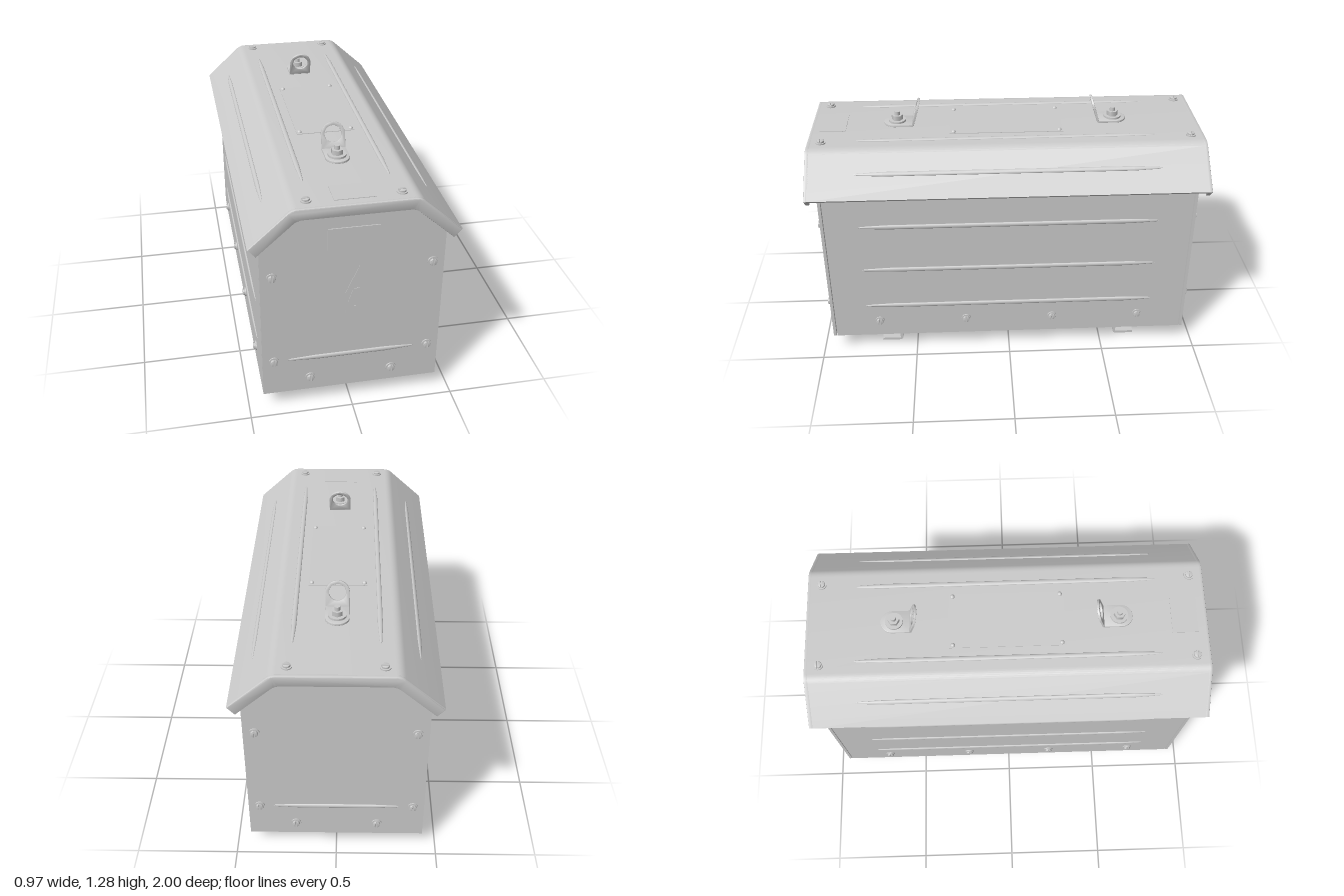
import * as THREE from 'three';
import { toCreasedNormals } from 'three/addons/utils/BufferGeometryUtils.js';

const mat = new THREE.MeshStandardMaterial({ color: 0xcccccc });
const UP = Math.PI / 2;
const SLOPE = Math.atan2(0.742, 0.671); // direction the roof slope faces

function part(name, geometry, x = 0, y = 0, z = 0) {
  const m = new THREE.Mesh(geometry, mat);
  m.name = name;
  m.position.set(x, y, z);
  return m;
}
const box = (name, w, h, d, x, y, z) => part(name, new THREE.BoxGeometry(w, h, d), x, y, z);
const disc = (name, r, h, sides, x, y, z) => part(name, new THREE.CylinderGeometry(r, r, h, sides), x, y, z);

function extrude(shape, depth, bevel = 0) {
  const g = new THREE.ExtrudeGeometry(shape, {
    depth: depth - 2 * bevel, bevelEnabled: bevel > 0, bevelThickness: bevel,
    bevelSize: bevel, bevelOffset: -bevel, bevelSegments: 2, curveSegments: 16,
  });
  g.translate(0, 0, bevel);
  return toCreasedNormals(g, 0.6);
}

// Points across the roof from right eave to left eave, d below its outer skin
function roofLine(d) {
  const e = new THREE.Vector2(0.484 - 0.671 * d, 0.965 - 0.742 * d);
  const k = new THREE.Vector2(0.285 - 0.385 * d, 1.145 - d);
  const r = 0.025;
  const bend = new THREE.QuadraticBezierCurve(
    new THREE.Vector2(k.x + 0.742 * r, k.y - 0.671 * r), k, new THREE.Vector2(k.x - r, k.y));
  const half = [e, ...bend.getPoints(5)];
  return [...half, ...half.map(p => new THREE.Vector2(-p.x, p.y)).reverse()];
}
const roofBand = d => new THREE.Shape([...roofLine(0), ...roofLine(d).reverse()]);

// Gabled wall outline that fits under the roof
const gable = (w, bottom, d) => {
  const top = 1.145 - d, k = 0.285 - 0.385 * d, eave = top - (w - k) * 0.905;
  return new THREE.Shape([[-w, bottom], [w, bottom], [w, eave], [k, top], [-k, top], [-w, eave]]
    .map(p => new THREE.Vector2(...p)));
};

// Slotted screw on a washer, facing +z
function screw() {
  const g = new THREE.Group();
  g.name = 'screw';
  const washer = disc('washer', 0.025, 0.006, 24, 0, 0, 0.003);
  washer.rotation.x = UP;
  const core = disc('screwCore', 0.015, 0.008, 20, 0, 0, 0.005);
  core.rotation.x = UP;
  g.add(washer, core);
  const a = 0.2;
  const halfDisc = new THREE.Shape();
  halfDisc.absarc(0, 0, 0.018, -UP + a, UP - a, false);
  halfDisc.closePath();
  for (const turn of [0, Math.PI]) {
    const half = part('screwHead', extrude(halfDisc, 0.012, 0.003), 0, 0, 0.004);
    half.rotation.z = turn;
    g.add(half);
  }
  return g;
}

// Pressed rib with tapered ends, running along x and raised towards +z
function rib(half) {
  const r = 0.012;
  const ends = [[0, half], [r * 0.45, half - 0.015], [r * 0.7, half - 0.07], [r, half - 0.14]];
  const pts = [...ends.map(([x, y]) => new THREE.Vector2(x, -y)),
    ...ends.reverse().map(([x, y]) => new THREE.Vector2(x, y))];
  const g = new THREE.LatheGeometry(pts, 16);
  g.rotateZ(UP);
  g.scale(1, 1, 0.6);
  return part('rib', g);
}

// L-shaped foot rail running across x; flange points to +z
function foot() {
  const s = new THREE.Shape();
  s.moveTo(0.69, 0);
  s.lineTo(0.69, 0.014);
  s.lineTo(0.594, 0.014);
  s.lineTo(0.594, 0.13);
  s.lineTo(0.58, 0.13);
  s.lineTo(0.58, 0.02);
  s.quadraticCurveTo(0.58, 0, 0.6, 0);
  const g = extrude(s, 0.74);
  g.rotateY(-UP); // profile x becomes z
  g.translate(0.37, 0, 0);
  return part('footRail', g);
}

// Bent lifting bracket with ring, nut and stud; bolted end towards +z
function liftingEye() {
  const g = new THREE.Group();
  g.name = 'liftingEye';
  const base = new THREE.Shape();
  base.moveTo(0.058, 0.478);
  base.lineTo(0.058, 0.57);
  base.absarc(0, 0.57, 0.058, 0, Math.PI, false);
  base.lineTo(-0.058, 0.478);
  const plate = part('bracketBase', extrude(base, 0.011, 0.002), 0, 1.156, 0);
  plate.rotation.x = UP;
  const tab = new THREE.Shape();
  tab.moveTo(-0.058, 0);
  tab.lineTo(0.058, 0);
  tab.lineTo(0.058, 0.073);
  tab.absarc(0, 0.073, 0.058, 0, Math.PI, false);
  const hole = new THREE.Path();
  hole.absarc(0, 0.073, 0.041, 0, Math.PI * 2, true);
  tab.holes.push(hole);
  const ring = part('bracketRing', extrude(tab, 0.011, 0.002), 0, 1.149, 0.475);
  ring.rotation.x = -0.29;
  g.add(plate, ring,
    disc('nutWasher', 0.044, 0.01, 24, 0, 1.161, 0.56),
    disc('nut', 0.029, 0.024, 6, 0, 1.178, 0.56),
    disc('stud', 0.014, 0.05, 16, 0, 1.185, 0.56));
  return g;
}

export function createModel() {
  const model = new THREE.Group();
  model.name = 'transformerHousing';
  // Places a +z facing part so that it faces an end (ry) or sideways/up (phi)
  const onEnd = (o, s, x, y) => {
    o.position.set(x * s, y, 0.945 * s);
    o.rotation.y = s > 0 ? 0 : Math.PI;
    model.add(o);
  };
  const onSide = (o, phi, x, y, z) => {
    o.position.set(x, y, z);
    o.rotation.set(0, UP, phi, 'ZYX');
    model.add(o);
  };

  // Body: core with recessed floor, side walls and gabled end panels
  model.add(part('core', extrude(gable(0.415, 0.115, 0.02), 1.85), 0, 0, -0.925));
  for (const s of [1, -1]) {
    model.add(box('sideWall', 0.015, 0.905, 1.852, 0.4225 * s, 0.5425, 0));
    model.add(part('endPanel', extrude(gable(0.43, 0.09, 0.017), 0.015), 0, 0, s > 0 ? 0.93 : -0.945));
  }

  // Roof sheet with deep lips at both ends
  model.add(part('roofSheet', extrude(roofBand(0.016), 1.97), 0, 0, -0.985));
  for (const z of [-1, 0.976]) model.add(part('roofLip', extrude(roofBand(0.055), 0.024, 0.005), 0, 0, z));

  // Screws and ribs on the ends and sides
  for (const s of [1, -1]) {
    for (const m of [1, -1]) {
      for (const [x, y] of [[0.375, 0.77], [0.375, 0.285], [0.2, 0.165]]) onEnd(screw(), s, x * m, y);
      onSide(screw(), UP, 0.215 * m, 1.145, 0.93 * s);
    }
    onEnd(rib(0.31), s, 0, 0.285);
    const out = s > 0 ? 0 : Math.PI;
    for (const y of [0.775, 0.515, 0.285]) onSide(rib(0.76), out, 0.43 * s, y, 0);
    for (const z of [-0.69, -0.23, 0.23, 0.69]) onSide(screw(), out, 0.43 * s, 0.185, z);
    onSide(rib(0.76), UP, 0.2 * s, 1.145, 0);
    onSide(rib(0.76), s > 0 ? SLOPE : Math.PI - SLOPE, 0.385 * s, 1.0545, 0);
  }

  // Riveted plate and small label on the roof
  model.add(box('roofPlate', 0.29, 0.006, 0.58, 0, 1.145, 0));
  model.add(box('roofLabel', 0.19, 0.006, 0.13, 0, 1.145, 0.885));
  for (const x of [-0.13, 0.13]) for (const z of [-0.27, 0.27]) {
    const g = new THREE.SphereGeometry(0.012, 16, 6, 0, Math.PI * 2, 0, UP);
    model.add(part('rivet', g, x, 1.147, z));
  }

  // Front label and warning flash
  model.add(box('frontLabel', 0.24, 0.11, 0.008, 0, 0.945, 0.946));
  const flash = new THREE.Shape([[0.03, 0.79], [-0.034, 0.645], [0, 0.655], [-0.024, 0.583], [-0.034, 0.59],
    [-0.03, 0.51], [0.017, 0.566], [-0.003, 0.566], [0.034, 0.668], [0, 0.66]].map(p => new THREE.Vector2(...p)));
  model.add(part('warningFlash', extrude(flash, 0.003), 0, 0, 0.944));

  // Lifting eyes and feet at both ends
  for (const turn of [0, Math.PI]) {
    for (const o of [liftingEye(), foot()]) {
      o.rotation.y = turn;
      model.add(o);
    }
  }
  return model;
}
